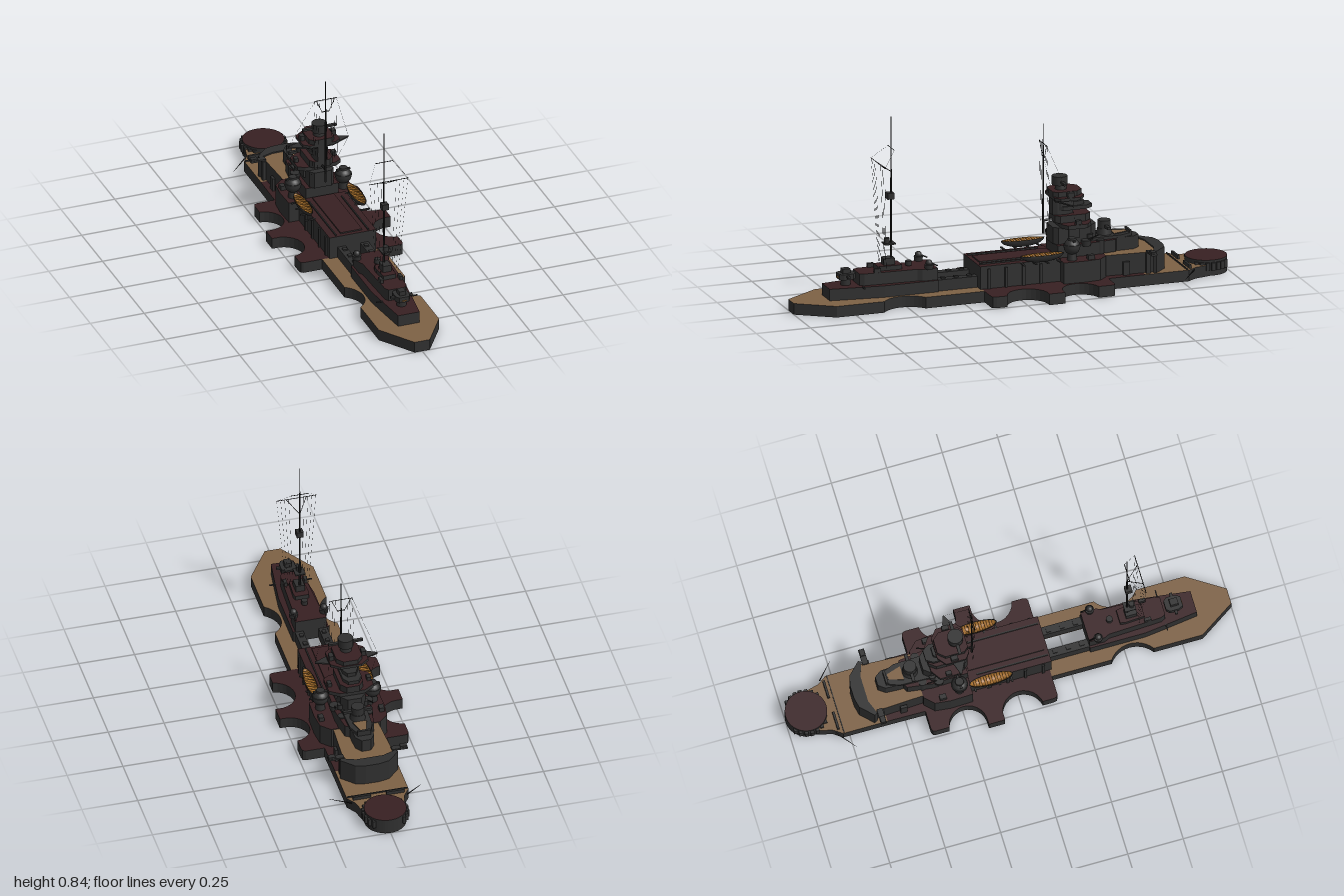
import * as THREE from 'three';

const paint = (name, color, side = THREE.FrontSide) => {
  const m = new THREE.MeshStandardMaterial({ color, side });
  m.name = name;
  return m;
};

export function createModel() {
  const root = new THREE.Group();
  root.name = 'warshipSuperstructure';
  const grey = paint('dark grey steel', 0x2f2f2f, THREE.DoubleSide);
  const maroon = paint('maroon deck', 0x382022, THREE.DoubleSide);
  const tan = paint('wooden deck', 0x7d6145, THREE.DoubleSide);
  const black = paint('black rigging', 0x1a1a1a);
  const wood = paint('varnished boat wood', 0xa06a28, THREE.DoubleSide);

  const add = (name, geo, mat, x = 0, y = 0, z = 0, parent = root) => {
    const m = new THREE.Mesh(geo, mat);
    m.name = name;
    m.position.set(x, y, z);
    parent.add(m);
    return m;
  };
  const box = (name, w, h, d, x, y, z, mat = grey) => add(name, new THREE.BoxGeometry(w, h, d), mat, x, y + h / 2, z);
  const drum = (name, r0, r1, h, x, y, z) => add(name, new THREE.CylinderGeometry(r1, r0, h, 20), grey, x, y + h / 2, z);
  const both = (fn) => [1, -1].forEach(fn);
  const rod = (name, a, b, r = 0.0004, n = 4, r1 = r) => {
    const p = new THREE.Vector3(...a), q = new THREE.Vector3(...b), d = q.clone().sub(p);
    const m = add(name, new THREE.CylinderGeometry(r1, r, d.length(), n), black);
    m.position.copy(p).add(q).multiplyScalar(0.5);
    m.quaternion.setFromUnitVectors(new THREE.Vector3(0, 1, 0), d.normalize());
  };

  // Mirrored prism: half outline [x, z] runs from +z to -z; open ones have no end walls
  const flat = (pts) => pts.map(([x, z]) => new THREE.Vector2(x, -z));
  const prism = (name, half, y0, y1, top = grey, { open = false, holes = [], bottom = false } = {}) => {
    const g = new THREE.Group();
    g.name = name;
    root.add(g);
    const mirror = (h) => [...h, ...h.map(([x, z]) => [-x, z]).reverse()];
    const loop = mirror(half), pos = [];
    loop.forEach(([ax, az], i) => {
      const [bx, bz] = loop[(i + 1) % loop.length];
      if (open && (i === half.length - 1 || i === loop.length - 1)) return;
      if (Math.hypot(ax - bx, az - bz) < 1e-5) return;
      pos.push(ax, y0, az, bx, y0, bz, bx, y1, bz, ax, y0, az, bx, y1, bz, ax, y1, az);
    });
    const wall = new THREE.BufferGeometry();
    wall.setAttribute('position', new THREE.Float32BufferAttribute(pos, 3));
    wall.computeVertexNormals();
    add(name + 'Walls', wall, grey, 0, 0, 0, g);
    const shape = new THREE.Shape(flat(loop));
    holes.forEach((h) => shape.holes.push(new THREE.Path(flat(mirror(h)))));
    const cap = () => new THREE.ShapeGeometry(shape).rotateX(-Math.PI / 2);
    add(name + 'Top', cap(), top, 0, y1, 0, g);
    if (bottom) add(name + 'Underside', cap(), grey, 0, y0, 0, g);
  };
  const rect = (w, z0, z1) => [[w, z0], [w, z1]];
  // Round bite taken out of a deck edge
  const notch = (zc, half, x, depth) => {
    const r = (half * half + depth * depth) / (2 * depth), cx = x - depth + r;
    const a = Math.asin(Math.min(1, half / r));
    return Array.from({ length: 13 }, (_, i) => {
      const t = a * (1 - i / 6);
      return [cx - r * Math.cos(t), zc + r * Math.sin(t)];
    });
  };

  // Decks
  prism('aftDeck', [[0, 1], [0.035, 1], [0.14, 0.84], ...notch(0.525, 0.095, 0.14, 0.05), [0.14, 0.16]], 0, 0.05, tan,
    { open: true, holes: [[[0.05, 0.82], [0.07, 0.6], [0.07, 0.37]], rect(0.033, 0.35, 0.175)] });
  prism('midDeck', [[0.14, 0.16], [0.225, 0.16], [0.236, 0.155], [0.24, 0.14], ...notch(0, 0.09, 0.24, 0.075),
    [0.275, -0.09], [0.275, -0.163], ...notch(-0.247, 0.083, 0.24, 0.075), [0.24, -0.39], [0.236, -0.404], [0.222, -0.41],
    [0.14, -0.41], [0.138, -0.58]], 0, 0.05, maroon, { open: true, holes: [rect(0.095, 0.15, -0.56)] });
  prism('foreDeck', [[0.138, -0.58], [0.138, -0.78], [0.11, -0.82], [0.09, -0.9]], 0, 0.05, tan, { open: true });

  // Forward gun ring with ready lockers round its rim
  const ring = Array.from({ length: 25 }, (_, i) => [0.092 * Math.sin(i * Math.PI / 24), -0.908 + 0.092 * Math.cos(i * Math.PI / 24)]);
  prism('gunRing', ring, 0, 0.07, maroon);
  for (let i = 0; i < 7; i++) both((s) => {
    const a = 0.75 + i * 0.27;
    box('rimLocker', 0.014, 0.035, 0.016, s * 0.096 * Math.sin(a), 0.025, -0.908 + 0.092 * Math.cos(a));
  });
  both((s) => {
    box('breakwater', 0.08, 0.016, 0.01, s * 0.075, 0.05, -0.795);
    rod('sideBoom', [s * 0.125, 0.045, -0.81], [s * 0.205, 0.03, -0.74], 0.003, 5, 0.0006);
  });
  box('deckRail', 0.27, 0.006, 0.004, 0, 0.05, -0.775);

  // Aft deckhouse with rangefinder, upper house and mast house
  prism('aftHouse', [[0.05, 0.84], [0.068, 0.7], [0.08, 0.6], [0.08, 0.35]], 0.05, 0.102, maroon);
  prism('aftUpperHouse', [[0.04, 0.7], [0.05, 0.68], [0.06, 0.44], [0.07, 0.42], [0.07, 0.35]], 0.1, 0.155, maroon);
  prism('aftRangefinder', [[0.022, 0.785], [0.033, 0.765], [0.033, 0.725], [0.02, 0.71]], 0.13, 0.155, grey, { bottom: true });
  drum('rangefinderBase', 0.022, 0.022, 0.035, 0, 0.1, 0.75);
  box('rangefinderHood', 0.03, 0.02, 0.035, 0, 0.155, 0.75);
  box('rangefinderArms', 0.1, 0.01, 0.012, 0, 0.14, 0.75);
  box('rangefinderSill', 0.02, 0.003, 0.004, 0, 0.137, 0.786, wood);
  prism('mastHouse', [[0.03, 0.61], [0.035, 0.52], [0.03, 0.5]], 0.155, 0.175, maroon);
  box('mastFoot', 0.04, 0.03, 0.05, 0, 0.175, 0.555);
  drum('searchlight', 0.014, 0.014, 0.02, 0, 0.16, 0.46);
  both((s) => {
    box('aftVent', 0.014, 0.018, 0.03, s * 0.045, 0.155, 0.62);
    drum('aftGunTub', 0.018, 0.02, 0.02, s * 0.068, 0.155, 0.39);
    add('aftDirector', new THREE.SphereGeometry(0.015, 12, 8), grey, s * 0.068, 0.182, 0.39);
    rod('aftGun', [s * 0.068, 0.18, 0.38], [s * 0.068, 0.165, 0.35], 0.003, 6);
    // Galleries either side of the open well
    box('wellGallery', 0.037, 0.05, 0.2, s * 0.053, 0.05, 0.26);
    for (let i = 0; i < 3; i++) box('galleryVent', 0.018, 0.006, 0.02, s * 0.05, 0.1, 0.2 + i * 0.06);
    box('sideFitting', 0.03, 0.005, 0.005, s * 0.08, 0.1, 0.695);
  });

  // Midship house, boat deck and ship's boats
  prism('midHouse', rect(0.108, 0.168, -0.2), 0.05, 0.152, maroon);
  prism('roofWalk', rect(0.05, 0.15, -0.19), 0.152, 0.158, maroon);
  both((s) => {
    box('roofPipe', 0.006, 0.006, 0.32, s * 0.075, 0.152, 0);
    for (let i = 0; i < 4; i++) {
      box('wallRib', 0.008, 0.09, 0.012, s * 0.111, 0.05, 0.13 - i * 0.08);
      box('boatCradle', 0.05, 0.006, 0.008, s * 0.125, 0.147, -0.02 - i * 0.055);
    }
    // Steel-grey outside, bare wood inside
    const boat = new THREE.Group();
    boat.name = 'shipBoat';
    root.add(boat);
    boat.position.set(s * 0.124, 0.185, -0.11);
    const shell = (w, d, l) => new THREE.SphereGeometry(1, 16, 8, 0, Math.PI * 2, Math.PI / 2, Math.PI / 2).scale(w, d, l);
    add('boatHull', shell(0.026, 0.034, 0.1), grey, 0, 0, 0, boat);
    add('boatLining', shell(0.023, 0.028, 0.095), wood, 0, 0, 0, boat);
    for (let i = -3; i <= 3; i++) {
      const w = 0.044 * Math.sqrt(1 - (i / 4) ** 2);
      add('boatThwart', new THREE.BoxGeometry(w, 0.003, 0.012), wood, 0, -0.003, i * 0.024, boat);
    }
  });

  // Forward house, shelter deck and curved front screen
  prism('forwardHouse', [[0.155, -0.2], [0.158, -0.3], [0.15, -0.37], [0.11, -0.41]], 0.05, 0.145, maroon);
  prism('shelterDeck', [[0.1, -0.4], [0.11, -0.6], [0.115, -0.63], [0.07, -0.675], [0.03, -0.69]], 0.05, 0.142, tan);
  prism('frontScreen', [[0.06, -0.645], [0.122, -0.622], [0.13, -0.635], [0.075, -0.69], [0.03, -0.7]], 0.05, 0.148);
  both((s) => {
    box('bridgeWing', 0.07, 0.008, 0.026, s * 0.142, 0.142, -0.608);
    box('wingTub', 0.03, 0.018, 0.022, s * 0.16, 0.14, -0.608);
    box('wingSupport', 0.02, 0.09, 0.02, s * 0.115, 0.05, -0.6);
    box('sideStack', 0.012, 0.06, 0.03, s * 0.114, 0.05, -0.5);
    // Round anti-aircraft directors
    const x = s * 0.117;
    drum('directorPedestal', 0.022, 0.018, 0.035, x, 0.145, -0.25);
    add('directorBall', new THREE.SphereGeometry(0.036, 20, 14), grey, x, 0.205, -0.25);
    drum('directorRim', 0.037, 0.037, 0.012, x, 0.204, -0.25);
    drum('directorHood', 0.02, 0.018, 0.016, x, 0.228, -0.25);
    box('directorArms', 0.062, 0.007, 0.01, x, 0.23, -0.25);
    // Twin gun mounts
    drum('gunTub', 0.02, 0.022, 0.025, s * 0.075, 0.19, -0.33);
    drum('lowerGunTub', 0.018, 0.018, 0.06, s * 0.06, 0.145, -0.4);
    rod('gunBarrel', [s * 0.075, 0.215, -0.34], [s * 0.085, 0.235, -0.385], 0.003, 6);
    box('roofLocker', 0.022, 0.02, 0.03, s * 0.135, 0.145, -0.33);
  });

  // Conning tower and forward director
  prism('lowerBridge', [[0.075, -0.2], [0.08, -0.36], [0.065, -0.47], [0.03, -0.49]], 0.145, 0.2, maroon);
  prism('conningTower', [[0.042, -0.37], [0.045, -0.5], [0.042, -0.56], [0.02, -0.59]], 0.142, 0.2);
  prism('conningDeck', [[0.055, -0.36], [0.05, -0.5], [0.03, -0.55]], 0.2, 0.213, grey, { bottom: true });
  prism('conningPlanking', [[0.032, -0.475], [0.012, -0.54]], 0.213, 0.217, tan);
  drum('forwardDirectorBase', 0.035, 0.03, 0.03, 0, 0.21, -0.44);
  drum('forwardDirector', 0.028, 0.028, 0.035, 0, 0.24, -0.44);
  box('forwardDirectorArms', 0.13, 0.012, 0.014, 0, 0.245, -0.44);
  box('bridgeScreen', 0.06, 0.025, 0.01, 0, 0.2, -0.55);

  // Bridge tower, level by level: half width, rear z, front z, y range
  const level = (name, w, z0, z1, y0, y1, top = grey) =>
    prism(name, [[w * 0.7, z0], [w, z0 - 0.02], [w, z1 + 0.03], [w * 0.55, z1]], y0, y1, top, { bottom: true });
  level('towerBase', 0.056, -0.19, -0.39, 0.2, 0.275);
  level('lowerPlatform', 0.1, -0.22, -0.36, 0.275, 0.293, maroon);
  level('compassBridge', 0.052, -0.2, -0.365, 0.293, 0.325, maroon);
  level('towerTrunk', 0.03, -0.195, -0.29, 0.325, 0.4);
  level('middlePlatform', 0.042, -0.22, -0.375, 0.345, 0.362);
  level('middleBridge', 0.034, -0.21, -0.34, 0.362, 0.38);
  level('upperPlatform', 0.085, -0.19, -0.33, 0.4, 0.413, maroon);
  level('upperBridge', 0.058, -0.19, -0.325, 0.413, 0.435, maroon);
  drum('directorNeck', 0.026, 0.022, 0.03, 0, 0.433, -0.24);
  drum('mainDirector', 0.034, 0.034, 0.04, 0, 0.455, -0.235);
  box('mainDirectorArms', 0.155, 0.009, 0.014, 0, 0.467, -0.235);
  prism('yardWing', [[0.05, -0.2], [0.14, -0.245], [0.14, -0.25], [0.05, -0.28]], 0.39, 0.396, grey, { bottom: true });
  both((s) => {
    box('upperLookout', 0.02, 0.022, 0.03, s * 0.072, 0.413, -0.26);
    box('lowerLookout', 0.018, 0.018, 0.025, s * 0.088, 0.293, -0.29);
    drum('towerSearchlight', 0.014, 0.014, 0.025, s * 0.055, 0.21, -0.355);
    box('platformBracket', 0.012, 0.05, 0.05, s * 0.06, 0.225, -0.28);
  });

  // Masts, yards and rigging
  rod('mainMast', [0, 0.17, 0.54], [0, 0.6, 0.54], 0.005, 8, 0.0035);
  rod('mainTopmast', [0, 0.58, 0.54], [0, 0.838, 0.54], 0.003, 6, 0.0015);
  rod('mainUpperYard', [-0.04, 0.697, 0.54], [0.04, 0.697, 0.54], 0.0018);
  rod('mainLowerYard', [-0.09, 0.633, 0.6], [0.09, 0.633, 0.6], 0.0018);
  rod('foreMast', [0, 0.24, -0.16], [0, 0.6, -0.16], 0.005, 8, 0.0035);
  rod('foreTopmast', [0, 0.58, -0.16], [0, 0.735, -0.16], 0.003, 6, 0.0015);
  rod('foreYard', [-0.052, 0.647, -0.16], [0.052, 0.647, -0.16], 0.0018);
  rod('foreCrosstree', [-0.018, 0.588, -0.16], [0.018, 0.588, -0.16], 0.0025);
  rod('foreMastBrace', [0, 0.3, -0.16], [0, 0.3, -0.2], 0.005, 6);
  box('mainMastLookout', 0.03, 0.028, 0.03, 0, 0.468, 0.545);
  box('mainMastPlatform', 0.045, 0.006, 0.05, 0, 0.265, 0.55);
  drum('mainMastLamp', 0.012, 0.012, 0.022, 0, 0.271, 0.56);
  both((s) => {
    rod('yardSpreader', [0, 0.59, 0.54], [s * 0.045, 0.633, 0.6], 0.0014);
    rod('foreYardBrace', [s * 0.016, 0.588, -0.16], [s * 0.042, 0.645, -0.16], 0.0012);
    rod('mainShroud', [s * 0.04, 0.697, 0.54], [s * 0.09, 0.633, 0.6]);
    rod('wingStay', [s * 0.14, 0.394, -0.247], [s * 0.05, 0.645, -0.16]);
    rod('wingDownStay', [s * 0.14, 0.394, -0.247], [s * 0.1, 0.29, -0.27]);
    for (let i = 0; i < 4; i++) {
      rod('mainHalyard', [s * (0.088 - i * 0.018), 0.633, 0.6], [s * (0.05 - i * 0.01), 0.17, 0.58]);
      if (i < 3) rod('foreHalyard', [s * (0.05 - i * 0.012), 0.647, -0.16], [s * (0.06 - i * 0.012), 0.28, -0.17]);
    }
  });
  return root;
}
